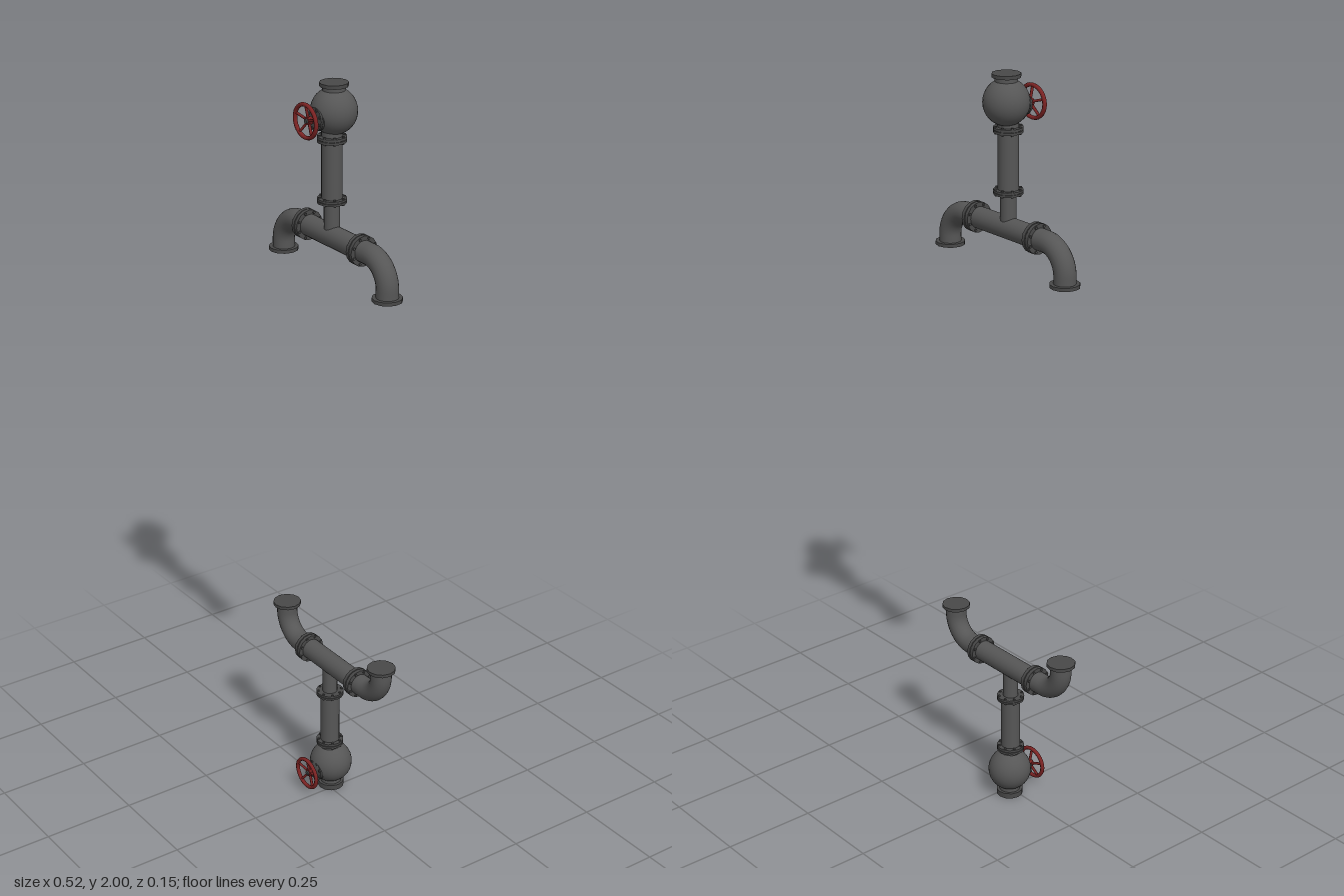
import * as THREE from 'three';

const iron = new THREE.MeshStandardMaterial({ color: 0x565656 });
iron.name = 'pipe iron';
const darkIron = new THREE.MeshStandardMaterial({ color: 0x484848 });
darkIron.name = 'flange iron';
const red = new THREE.MeshStandardMaterial({ color: 0x7c2323 });
red.name = 'wheel red';

const PIPE_Z = -0.01;
const UP = new THREE.Vector3(0, 1, 0);
const v = (x, y, z = PIPE_Z) => new THREE.Vector3(x, y, z);

function add(parent, name, geometry, material) {
  const mesh = new THREE.Mesh(geometry, material);
  mesh.name = name;
  parent.add(mesh);
  return mesh;
}

// Straight round bar between two points
function bar(parent, name, a, b, radius, material, sides = 20) {
  const dir = b.clone().sub(a);
  const mesh = add(parent, name, new THREE.CylinderGeometry(radius, radius, dir.length(), sides), material);
  mesh.position.copy(a).add(b).multiplyScalar(0.5);
  mesh.quaternion.setFromUnitVectors(UP, dir.normalize());
  return mesh;
}

// Pair of discs clamped by a ring of bolts
function boltedFlange(parent, name, center, axis, radius, thick) {
  const group = new THREE.Group();
  group.name = name;
  const half = thick / 2;
  for (const s of [-1, 1]) {
    const disc = add(group, 'flangeDisc', new THREE.CylinderGeometry(radius, radius, half * 0.88, 16), darkIron);
    disc.position.y = s * half * 0.56;
  }
  add(group, 'gasket', new THREE.CylinderGeometry(radius * 0.93, radius * 0.93, half, 16), darkIron);
  for (let i = 0; i < 8; i++) {
    const a = (i + 0.5) * Math.PI / 4;
    const bolt = add(group, 'bolt', new THREE.CylinderGeometry(0.0035, 0.0035, thick + 0.006, 6), darkIron);
    bolt.position.set(Math.cos(a) * radius * 0.86, 0, Math.sin(a) * radius * 0.86);
  }
  group.position.copy(center);
  group.quaternion.setFromUnitVectors(UP, axis);
  parent.add(group);
}

// Cross pipe with an elbow at each end, swept as one tube
function crossPath(x0, x1, yCross, yEnd) {
  const bend = 0.07, k = bend * 0.448;
  const d = Math.sign(yEnd - yCross);
  const path = new THREE.CurvePath();
  path.add(new THREE.LineCurve3(v(x0, yEnd), v(x0, yCross + d * bend)));
  path.add(new THREE.CubicBezierCurve3(v(x0, yCross + d * bend), v(x0, yCross + d * k), v(x0 + k, yCross), v(x0 + bend, yCross)));
  path.add(new THREE.LineCurve3(v(x0 + bend, yCross), v(x1 - bend, yCross)));
  path.add(new THREE.CubicBezierCurve3(v(x1 - bend, yCross), v(x1 - k, yCross), v(x1, yCross + d * k), v(x1, yCross + d * bend)));
  path.add(new THREE.LineCurve3(v(x1, yCross + d * bend), v(x1, yEnd)));
  return path;
}

// Hand wheel: oval rim, dished spokes and hub
function handWheel(parent, x, y) {
  const wheel = new THREE.Group();
  wheel.name = 'handWheel';
  const rim = add(wheel, 'wheelRim', new THREE.TorusGeometry(0.044, 0.0055, 8, 28), red);
  rim.position.z = 0.067;
  for (let i = 0; i < 5; i++) {
    const a = Math.PI / 2 + i * Math.PI * 2 / 5;
    bar(wheel, 'wheelSpoke', v(0, 0, 0.058), v(Math.cos(a) * 0.044, Math.sin(a) * 0.044, 0.067), 0.0038, red, 6);
  }
  bar(wheel, 'wheelHub', v(0, 0, 0.052), v(0, 0, 0.064), 0.011, red, 12);
  wheel.position.set(x, y, 0);
  wheel.scale.y = 0.92;
  parent.add(wheel);
}

// One pipe assembly; distances run from its outer cap at `base` in direction `s`
function pipeAssembly(name, { base, s, stemX, x0, x1, sphereZ, capDepth }) {
  const group = new THREE.Group();
  group.name = name;
  const Y = d => base + s * d;
  const axisY = v(0, 1, 0), axisX = v(1, 0, 0);

  // Valve body and outer cap
  const body = add(group, 'valveBody', new THREE.SphereGeometry(0.058, 28, 18), iron);
  body.position.set(stemX, Y(0.07), sphereZ);
  bar(group, 'capFlange', v(stemX, Y(-capDepth), sphereZ), v(stemX, Y(0.009), sphereZ), 0.036, darkIron, 12);
  bar(group, 'capNeck', v(stemX, Y(0.005), sphereZ), v(stemX, Y(0.03), sphereZ), 0.028, iron);

  // Bonnet, spindle and wheel on the front of the valve
  const wy = Y(0.07) - 0.012;
  bar(group, 'bonnetNeck', v(stemX, wy, 0), v(stemX, wy, 0.036), 0.022, iron, 16);
  boltedFlange(group, 'bonnetFlange', v(stemX, wy, 0.036), v(0, 0, 1), 0.029, 0.011);
  bar(group, 'spindle', v(stemX, wy, 0.036), v(stemX, wy, 0.068), 0.006, darkIron, 10);
  handWheel(group, stemX, wy);

  // Stem with its two joints
  bar(group, 'stemPipe', v(stemX, Y(0.11)), v(stemX, Y(0.293)), 0.026, iron);
  bar(group, 'branchPipe', v(stemX, Y(0.29)), v(stemX, Y(0.386)), 0.02, iron);
  boltedFlange(group, 'valveFlange', v(stemX, Y(0.138)), axisY, 0.037, 0.014);
  boltedFlange(group, 'stemFlange', v(stemX, Y(0.293)), axisY, 0.037, 0.012);

  // Cross pipe, joints and open-end flanges
  add(group, 'crossPipe', new THREE.TubeGeometry(crossPath(x0, x1, Y(0.386), Y(0.478)), 90, 0.028, 20), iron);
  for (const x of [x0 + 0.104, x1 - 0.106]) {
    boltedFlange(group, 'crossFlange', v(x, Y(0.386)), axisX, 0.039, 0.022);
  }
  for (const x of [x0, x1]) {
    bar(group, 'endFlange', v(x, Y(0.474)), v(x, Y(0.483)), 0.038, darkIron, 12);
  }
  return group;
}

export function createModel() {
  const model = new THREE.Group();
  model.name = 'pipes';
  model.add(pipeAssembly('upperPipes', {
    base: 2, s: -1, stemX: -0.009, x0: -0.22, x1: 0.22, sphereZ: -0.016, capDepth: 0,
  }));
  model.add(pipeAssembly('lowerPipes', {
    base: 0.006, s: 1, stemX: -0.018, x0: -0.221, x1: 0.213, sphereZ: -0.013, capDepth: 0.006,
  }));
  return model;
}
